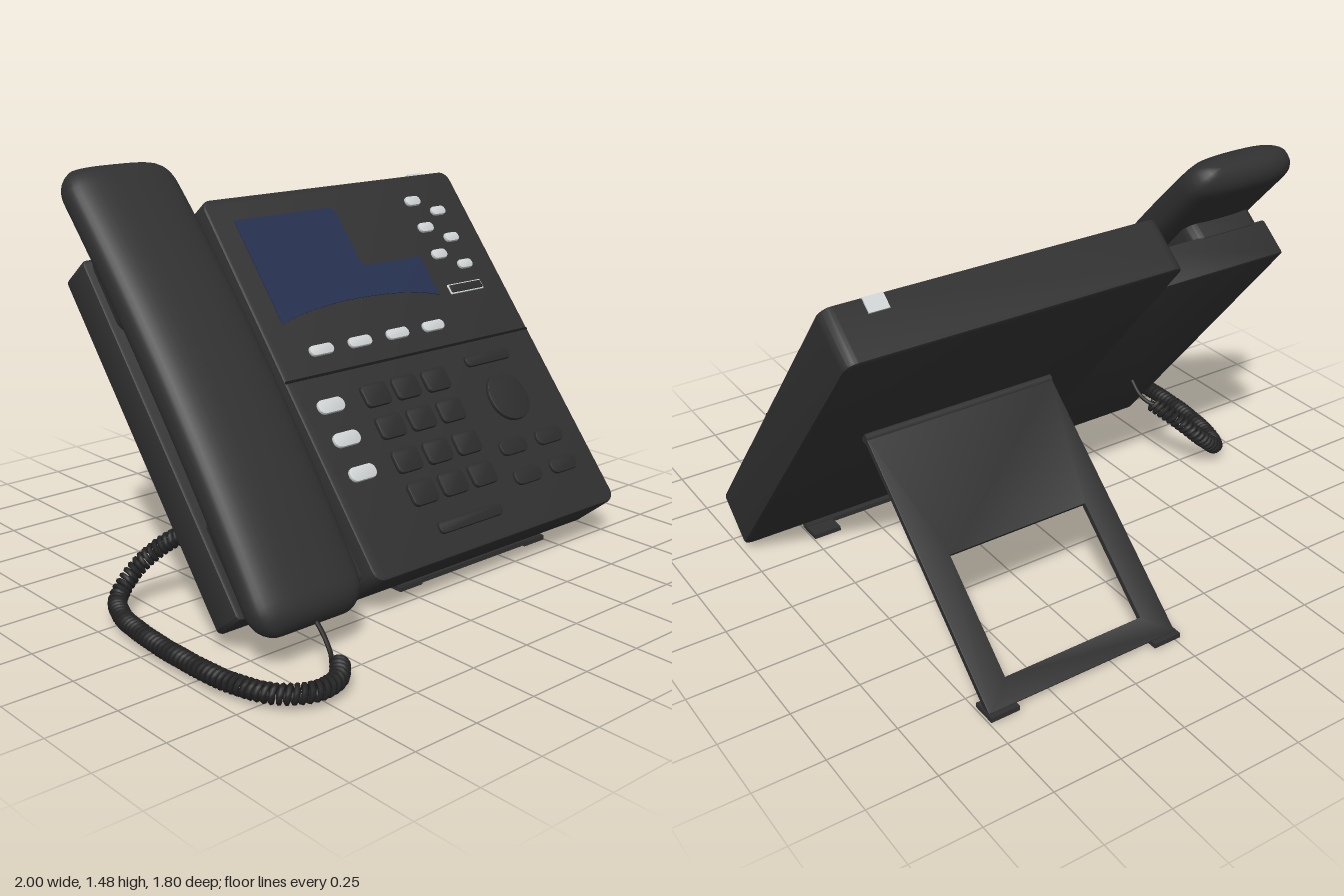
import * as THREE from 'three';
import { toCreasedNormals } from 'three/addons/utils/BufferGeometryUtils.js';

const mat = (name, color, side = THREE.FrontSide) => {
  const m = new THREE.MeshStandardMaterial({ color, side });
  m.name = name;
  return m;
};

// Rounded slab in the XY plane, from z0 to z1, with bevelled edges
function slab(x0, x1, y0, y1, z0, z1, r, bevel, hole) {
  const b = bevel, s = new THREE.Shape();
  const [l, R, d, u] = [x0 + b, x1 - b, y0 + b, y1 - b];
  const q = Math.max(r - b, 0.001);
  s.absarc(R - q, u - q, q, 0, Math.PI / 2);
  s.absarc(l + q, u - q, q, Math.PI / 2, Math.PI);
  s.absarc(l + q, d + q, q, Math.PI, Math.PI * 1.5);
  s.absarc(R - q, d + q, q, Math.PI * 1.5, Math.PI * 2);
  s.closePath();
  if (hole) {
    const [hx0, hx1, hy0, hy1] = hole;
    s.holes.push(new THREE.Path([[hx0, hy0], [hx0, hy1], [hx1, hy1], [hx1, hy0]].map(p => new THREE.Vector2(...p))));
  }
  const g = new THREE.ExtrudeGeometry(s, {
    depth: z1 - z0 - 2 * b, bevelEnabled: b > 0, bevelSize: b, bevelThickness: b, bevelSegments: 2, curveSegments: 6,
  });
  g.translate(0, 0, z0 + b);
  return toCreasedNormals(g, 0.7);
}

// Handset lofted from superellipse sections along a gentle bow
function handsetGeometry() {
  const N = 40, M = 40, pos = [], idx = [];
  const round = t => Math.sqrt(Math.max(0, 1 - (1 - Math.min(t, 1)) ** 2));
  const pw = c => Math.sign(c) * Math.abs(c) ** 0.7;
  for (let i = 0; i <= N; i++) {
    const k = -Math.cos(Math.PI * i / N), v = 0.8 + 0.86 * k, d = 0.86 * (1 - Math.abs(k));
    const bow = 1 - k * k;
    const h = (0.074 + 0.01 * bow) * round(d / 0.075), b = 0.2225 * (0.58 + 0.42 * round(d / 0.11));
    for (let j = 0; j < M; j++) {
      const a = 2 * Math.PI * j / M;
      pos.push(-0.603 + b * pw(Math.cos(a)), v, 0.247 + 0.04 * bow + h * pw(Math.sin(a)));
      if (i < N) {
        const p = i * M + j, n = i * M + (j + 1) % M;
        idx.push(p, p + M, n, n, p + M, n + M);
      }
    }
  }
  const g = new THREE.BufferGeometry();
  g.setAttribute('position', new THREE.Float32BufferAttribute(pos, 3));
  g.setIndex(idx);
  g.computeVertexNormals();
  return g;
}

// Helix wound around a guide curve
class Coil extends THREE.Curve {
  constructor(path, turns, radius) {
    super();
    Object.assign(this, { path, turns, radius });
  }
  getPoint(t, target = new THREE.Vector3()) {
    const p = this.path.getPointAt(t), T = this.path.getTangentAt(t);
    const side = new THREE.Vector3().crossVectors(T, new THREE.Vector3(0, 1, 0)).normalize();
    const up = new THREE.Vector3().crossVectors(side, T);
    const a = t * this.turns * Math.PI * 2;
    return target.copy(p).addScaledVector(side, Math.cos(a) * this.radius).addScaledVector(up, Math.sin(a) * this.radius);
  }
}

export function createModel() {
  const root = new THREE.Group();
  root.name = 'deskPhone';
  const shell = mat('charcoal shell', 0x303030);
  const keyDark = mat('dark keys', 0x2c2c2c);
  const seamMat = mat('seam black', 0x161616);
  const cordMat = mat('cord black', 0x222222);
  const screenMat = mat('navy screen', 0x25304f);
  const keyLight = mat('pale grey keys', 0xcdd1d2);

  const add = (parent, name, geo, m) => {
    const mesh = new THREE.Mesh(geo, m);
    mesh.name = name;
    parent.add(mesh);
    return mesh;
  };

  // Tilted frame: y runs up the slope, z out of the face
  const tilt = new THREE.Group();
  tilt.name = 'tiltedBody';
  tilt.position.set(0, 0.02, 0.41);
  tilt.rotation.x = -0.683;
  root.add(tilt);
  const F = 0.2;
  const toV = y => (y - 0.146) / 0.776;

  add(tilt, 'body', slab(-0.26, 1, 0, 1.515, 0, F, 0.045, 0.01), shell);
  add(tilt, 'cradle', slab(-0.79, -0.25, 0.045, 1.375, 0.002, 0.142, 0.02, 0.008), shell);
  for (const v of [0.1, 1.08]) add(tilt, 'cradleRest', slab(-0.76, -0.46, v, v + 0.3, 0.13, 0.23, 0.05, 0.01), shell);
  add(tilt, 'handset', handsetGeometry(), shell);
  add(tilt, 'faceSeam', slab(-0.255, 0.995, toV(0.735), toV(0.742), F - 0.002, F + 0.002, 0.002, 0), seamMat);

  // Stepped display with a curved lower edge
  const s = new THREE.Shape();
  const P = (x, y) => [x, toV(y)];
  s.moveTo(...P(-0.155, 0.905));
  s.lineTo(...P(-0.155, 1.245));
  s.lineTo(...P(0.295, 1.245));
  s.quadraticCurveTo(...P(0.325, 1.245), ...P(0.325, 1.215));
  s.lineTo(...P(0.325, 1.075));
  s.quadraticCurveTo(...P(0.325, 1.04), ...P(0.36, 1.04));
  s.lineTo(...P(0.63, 1.04));
  s.lineTo(...P(0.63, 0.905));
  s.bezierCurveTo(...P(0.45, 0.955), ...P(0.02, 0.955), ...P(-0.155, 0.905));
  const screen = new THREE.ExtrudeGeometry(s, { depth: 0.004, bevelEnabled: false });
  add(tilt, 'screen', screen.translate(0, 0, F - 0.001), screenMat);

  // Keys: centre x and front height, width and front height of the key
  const key = (name, x, y, w, h, m, r = 0.02, top = 0.012) => {
    const v = toV(y), hv = h / 0.776 / 2;
    add(tilt, name, slab(x - w / 2, x + w / 2, v - hv, v + hv, F - 0.006, F + top, Math.min(r, hv * 0.95), 0.005), m);
  };
  for (const x of [-0.043, 0.143, 0.332, 0.52]) key('softKey', x, 0.81, 0.11, 0.032, keyLight);
  for (const y of [0.645, 0.543, 0.44]) key('lineKey', -0.115, y, 0.12, 0.042, keyLight, 0.026);
  for (let i = 0; i < 3; i++) {
    key('speedKey', 0.732, 1.228 - 0.096 * i, 0.078, 0.032, keyLight);
    key('speedKey', 0.84, 1.183 - 0.097 * i, 0.076, 0.03, keyLight);
  }
  key('labelRim', 0.785, 0.914, 0.186, 0.034, keyLight, 0.006, 0.004);
  key('labelKey', 0.785, 0.914, 0.174, 0.026, keyDark, 0.006, 0.008);
  for (const x of [0.098, 0.25, 0.403])
    for (const y of [0.645, 0.545, 0.44, 0.34]) key('numberKey', x, y, 0.122, 0.07, keyDark, 0.022, 0.014);
  key('speakerBar', 0.253, 0.23, 0.32, 0.036, keyDark);
  key('messageBar', 0.707, 0.675, 0.24, 0.036, keyDark);
  for (const x of [0.615, 0.816]) for (const y of [0.391, 0.297]) key('functionKey', x, y, 0.142, 0.048, keyDark, 0.028);
  key('navigationPad', 0.712, 0.54, 0.196, 0.152, keyDark, 0.098, 0.014);

  // Message light on the top edge
  add(tilt, 'messageLight', new THREE.BoxGeometry(0.072, 0.012, 0.055).translate(0.825, 1.515, 0.168), keyLight);

  // Folding stand: windowed plate with feet and a hinge bar
  const stand = new THREE.Group();
  stand.name = 'stand';
  stand.position.set(0, 0.665, -0.125);
  stand.rotation.x = Math.atan2(0.75, 0.65);
  root.add(stand);
  add(stand, 'standPlate', slab(-0.008, 0.742, -0.99, 0, -0.012, 0.012, 0.004, 0.002, [0.09, 0.64, -0.905, -0.47]), shell);
  const hinge = new THREE.CylinderGeometry(0.02, 0.02, 0.75, 16).rotateZ(Math.PI / 2);
  add(root, 'standHinge', hinge.translate(0.367, 0.662, -0.125), shell);
  for (const x of [0.037, 0.692]) {
    add(root, 'rearFoot', new THREE.BoxGeometry(0.108, 0.018, 0.09).translate(x, 0.015, -0.855), shell);
    add(root, 'frontFoot', new THREE.BoxGeometry(0.108, 0.018, 0.1).translate(x, 0.009, 0.375), shell);
  }
  add(root, 'frontFootRail', new THREE.BoxGeometry(0.75, 0.018, 0.03).translate(0.367, 0.012, 0.405), shell);

  // Coiled cord with straight ends
  const curve = pts => new THREE.CatmullRomCurve3(pts.map(p => new THREE.Vector3(...p)));
  const path = curve([
    [-0.625, 0.06, 0.79], [-0.69, 0.05, 0.85], [-0.79, 0.05, 0.865], [-0.89, 0.05, 0.8], [-0.945, 0.05, 0.66],
    [-0.963, 0.05, 0.45], [-0.957, 0.05, 0.22], [-0.925, 0.05, 0.03], [-0.87, 0.065, -0.07],
    [-0.78, 0.14, -0.09], [-0.7, 0.22, -0.04], [-0.63, 0.285, 0.045],
  ]);
  add(root, 'coiledCord', new THREE.TubeGeometry(new Coil(path, 72, 0.025), 1150, 0.0095, 6), cordMat);
  const lead = pts => add(root, 'cordLead', new THREE.TubeGeometry(curve(pts), 16, 0.008, 8), cordMat);
  lead([[-0.6, 0.15, 0.64], [-0.605, 0.11, 0.69], [-0.62, 0.07, 0.74], [-0.64, 0.055, 0.77], [-0.625, 0.06, 0.8]]);
  lead([[-0.64, 0.275, 0.03], [-0.615, 0.29, 0.06], [-0.605, 0.31, 0.1], [-0.6, 0.36, 0.15]]);
  return root;
}
